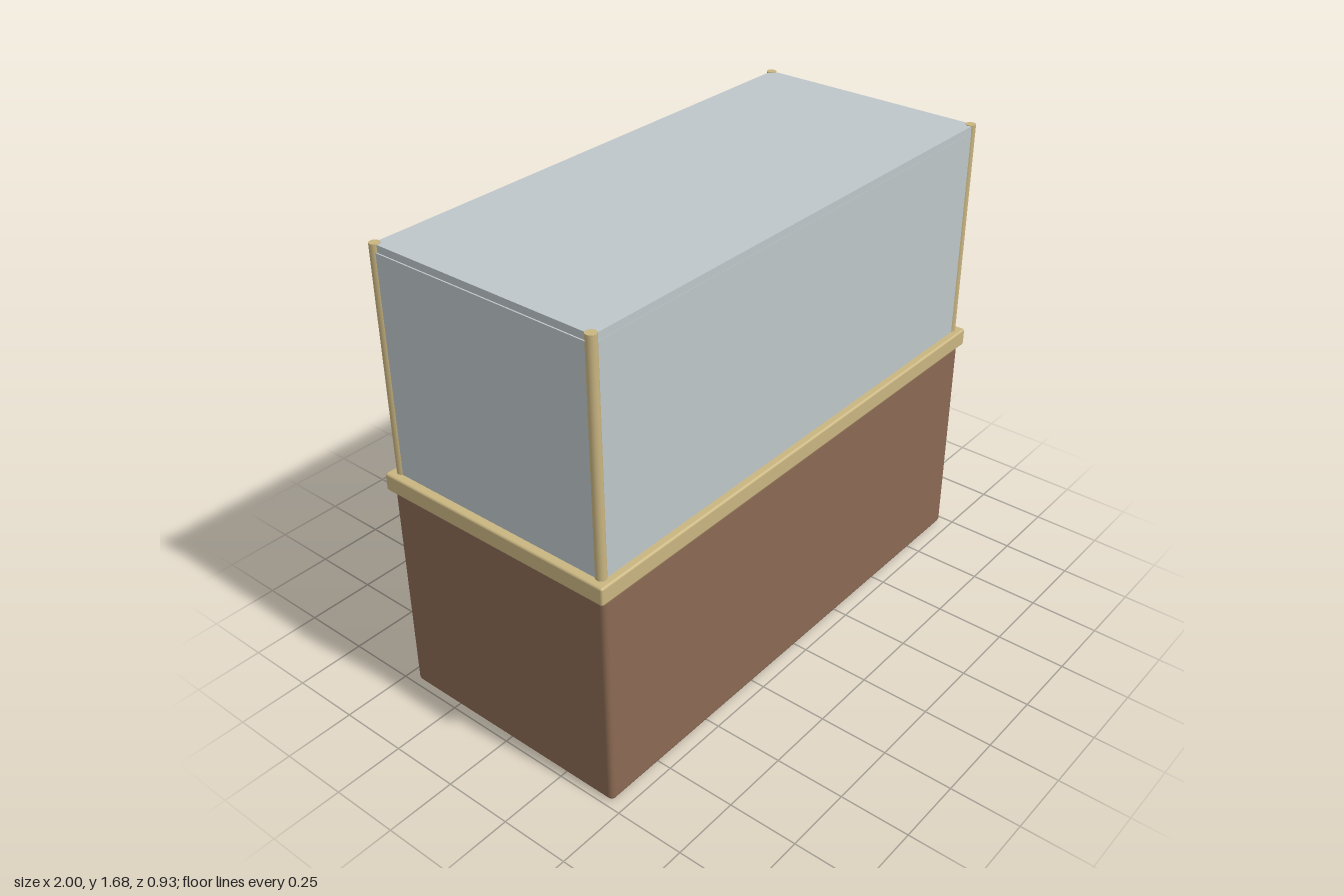
import * as THREE from 'three';
import { RoundedBoxGeometry } from 'three/addons/geometries/RoundedBoxGeometry.js';

export function createModel() {
  const root = new THREE.Group();
  root.name = 'bakeryDisplayCase';

  const mat = (name, color) => {
    const m = new THREE.MeshStandardMaterial({ color });
    m.name = name;
    return m;
  };
  const wood = mat('brown wood', 0x8a6952);
  const brass = mat('pale gold', 0xc9b581);
  const glass = mat('grey glass', 0xbec6c9);
  const crust = mat('golden crust', 0xc8a96c);
  const cream = mat('white cream', 0xe6e6ea);
  const icing = mat('brown icing', 0x8a5a3a);

  const add = (name, geometry, material, x, y, z, parent = root) => {
    const mesh = new THREE.Mesh(geometry, material);
    mesh.name = name;
    mesh.position.set(x, y, z);
    parent.add(mesh);
    return mesh;
  };
  const box = (w, h, d) => new THREE.BoxGeometry(w, h, d);
  const rounded = (w, h, d, r) => new RoundedBoxGeometry(w, h, d, 3, r);

  // Cabinet and counter slab
  add('cabinet', rounded(1.96, 0.81, 0.91, 0.018), wood, 0, 0.405, 0);
  add('counterTop', rounded(2, 0.065, 0.934, 0.008), brass, 0, 0.8395, 0);

  // Glass hood, open at the back
  const top = 0.87, roofY = 1.65;
  add('frontGlass', box(1.91, roofY - top, 0.015), glass, 0, (top + roofY) / 2, 0.4325);
  add('roofGlass', box(1.93, 0.025, 0.87), glass, 0, roofY + 0.0125, 0.004);
  for (const s of [-1, 1]) {
    add('sideGlass', box(0.015, roofY - top, 0.86), glass, s * 0.9625, (top + roofY) / 2, 0);
  }

  // Corner posts
  const postGeo = new THREE.CylinderGeometry(0.018, 0.018, 0.808, 16);
  for (const x of [-0.959, 0.959]) {
    for (const z of [-0.428, 0.428]) add('cornerPost', postGeo, brass, x, 1.273, z);
  }

  // Shelves
  const shelfTops = [1.04, 1.373];
  for (const y of shelfTops) add('shelf', box(1.82, 0.02, 0.75), brass, 0, y - 0.01, 0.015);

  // Baked goods in rows of seven
  const loafGeo = rounded(0.12, 0.045, 0.09, 0.01);
  const cakeGeo = new THREE.CylinderGeometry(0.088, 0.088, 0.075, 24);
  const icingGeo = new THREE.CylinderGeometry(0.09, 0.09, 0.02, 24);
  const bunGeo = new THREE.TorusGeometry(0.045, 0.027, 10, 24).rotateX(Math.PI / 2);
  for (let i = 0; i < 7; i++) {
    const x = -0.7 + i * (1.4 / 6), z = 0.05;
    if (i < 3) {
      const cake = new THREE.Group();
      cake.name = 'cake';
      cake.position.set(x, shelfTops[0], z);
      add('cakeBody', cakeGeo, cream, 0, 0.0375, 0, cake);
      add('cakeIcing', icingGeo, icing, 0, 0.085, 0, cake);
      root.add(cake);
    } else {
      add('loaf', loafGeo, crust, x, shelfTops[0] + 0.0225, z);
    }
    add('ringBun', bunGeo, crust, x, shelfTops[1] + 0.026, z);
  }
  return root;
}
